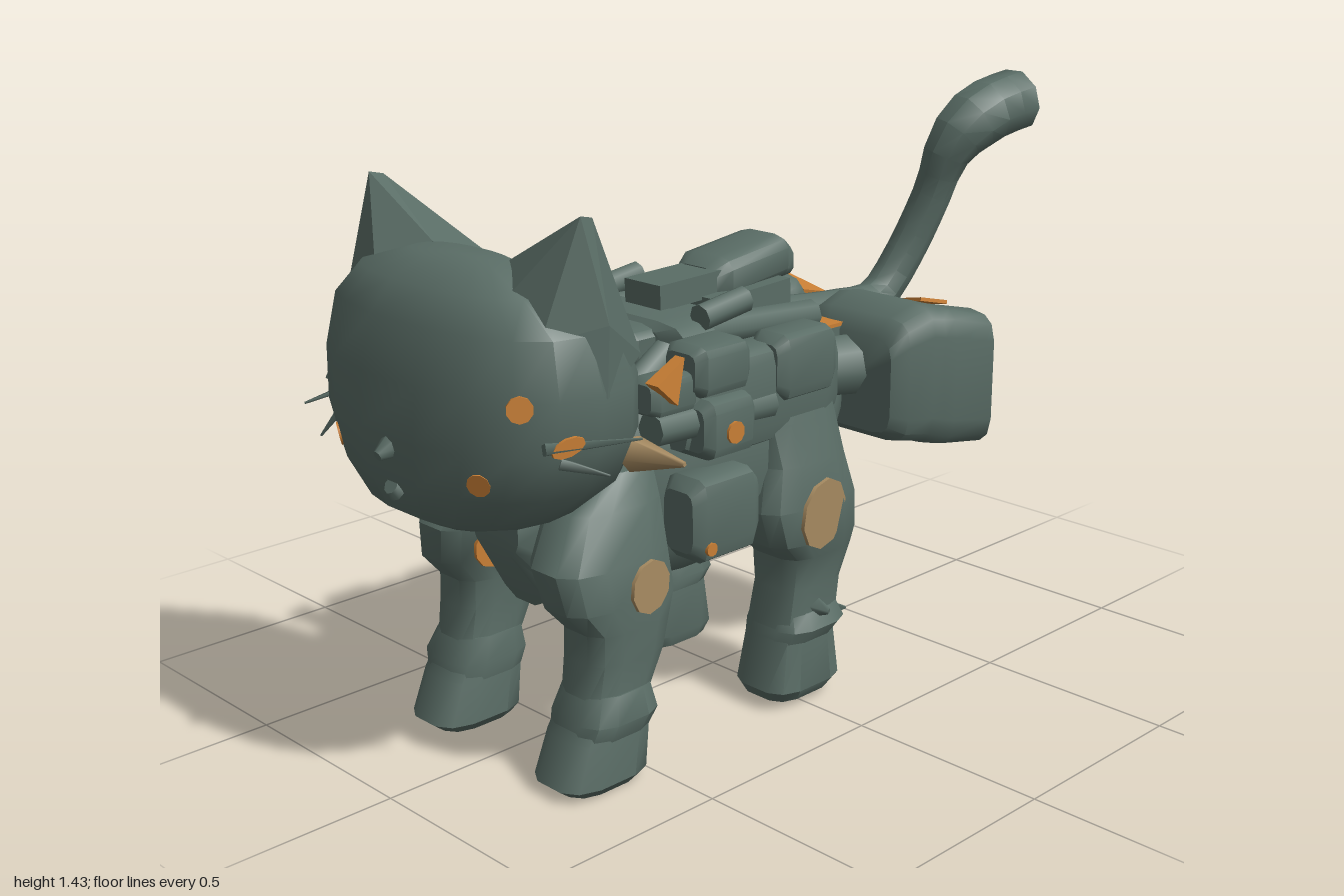
import * as THREE from 'three';
import { toCreasedNormals } from 'three/addons/utils/BufferGeometryUtils.js';
import { ConvexGeometry } from 'three/addons/geometries/ConvexGeometry.js';

const V = (x, y, z) => new THREE.Vector3(x, y, z);

// Closed skin over rings [x, y, z, radiusA, radiusB], ascending along the axis;
// drop(x, y, z) may lower single points
function loft(axis, rings, power = 2.4, n = 14, drop = () => 0) {
  const pos = [], idx = [];
  const sup = v => Math.sign(v) * Math.abs(v) ** (2 / power);
  const push = (x, y, z) => pos.push(x, y - drop(x, y, z), z);
  const tri = (a, b, c) => (axis === 'x' ? idx.push(a, b, c) : idx.push(a, c, b));
  for (const [x, y, z, ra, rb] of rings) {
    for (let j = 0; j < n; j++) {
      const t = ((j + 0.5) / n) * Math.PI * 2;
      const a = sup(Math.cos(t)) * ra, b = sup(Math.sin(t)) * rb;
      if (axis === 'x') push(x, y + a, z + b);
      else push(x + a, y, z + b);
    }
  }
  const last = rings.length - 1, c0 = rings.length * n, c1 = c0 + 1;
  pos.push(...rings[0].slice(0, 3), ...rings[last].slice(0, 3));
  for (let j = 0; j < n; j++) {
    const k = (j + 1) % n;
    for (let i = 0; i < last; i++) {
      tri(i * n + j, i * n + k, (i + 1) * n + j);
      tri(i * n + k, (i + 1) * n + k, (i + 1) * n + j);
    }
    tri(c0, k, j);
    tri(c1, last * n + j, last * n + k);
  }
  const g = new THREE.BufferGeometry();
  g.setAttribute('position', new THREE.Float32BufferAttribute(pos, 3));
  g.setIndex(idx);
  return toCreasedNormals(g, 0.7);
}

export function createModel() {
  const model = new THREE.Group();
  const cat = new THREE.Group();
  cat.name = 'mechanicalCat';
  cat.position.z = 0.02;
  model.add(cat);

  const paint = (name, color) => {
    const m = new THREE.MeshStandardMaterial({ color });
    m.name = name;
    return m;
  };
  const green = paint('slate green', 0x5a6d66);
  const orange = paint('orange', 0xc97f35);
  const tan = paint('tan', 0xa88c62);

  const add = (name, geometry, material = green) => {
    const m = new THREE.Mesh(geometry, material);
    m.name = name;
    cat.add(m);
    return m;
  };
  const box = (name, x, y, z, w, h, d, tilt = 0, material = green) => {
    const m = add(name, new THREE.BoxGeometry(w, h, d), material);
    m.position.set(x, y, z);
    m.rotation.z = tilt;
    return m;
  };
  // Box with softened ends and corners
  const pack = (name, x, y, z, w, h, d) => add(name, loft('x', [
    [x - w / 2, y, z, h * 0.36, d * 0.36], [x - w * 0.36, y, z, h / 2, d / 2],
    [x + w * 0.36, y, z, h / 2, d / 2], [x + w / 2, y, z, h * 0.36, d * 0.36],
  ], 5, 12));
  // Cylinder or cone between two points
  const rod = (name, a, b, r0, r1, material = green, sides = 8) => {
    const d = b.clone().sub(a);
    const m = add(name, new THREE.CylinderGeometry(r1, r0, d.length(), sides), material);
    m.position.copy(a).addScaledVector(d, 0.5);
    m.quaternion.setFromUnitVectors(V(0, 1, 0), d.normalize());
    return m;
  };
  const disc = (name, p, dir, r, material) =>
    rod(name, p, p.clone().addScaledVector(dir.normalize(), 0.009), r, r, material, 10);

  add('body', loft('x', [
    [-0.7, 0.56, 0, 0.06, 0.08], [-0.62, 0.54, 0, 0.18, 0.115], [-0.52, 0.6, 0, 0.24, 0.17],
    [-0.4, 0.635, 0, 0.285, 0.19], [-0.28, 0.64, 0, 0.285, 0.25], [-0.1, 0.65, 0, 0.285, 0.27],
    [0.02, 0.67, 0, 0.26, 0.26], [0.16, 0.7, 0, 0.17, 0.24], [0.26, 0.74, 0, 0.14, 0.18],
  ], 2.6, 16));
  add('head', loft('y', [
    [-0.78, 0.62, 0, 0.09, 0.13], [-0.76, 0.66, 0, 0.18, 0.26], [-0.735, 0.74, 0, 0.235, 0.35],
    [-0.73, 0.84, 0, 0.25, 0.395], [-0.73, 0.96, 0, 0.24, 0.405], [-0.74, 1.08, 0, 0.2, 0.38],
    [-0.77, 1.15, 0, 0.13, 0.29], [-0.77, 1.195, 0, 0.06, 0.14],
  ], 2.4, 18));
  rod('nose', V(-0.95, 0.82, 0), V(-1, 0.8, 0), 0.035, 0.012);
  rod('mouth', V(-0.955, 0.72, 0), V(-0.97, 0.73, 0), 0.03, 0.02);

  // Tail: a tube that thickens towards its blunt tip
  const path = new THREE.CatmullRomCurve3([
    V(0.12, 0.89, 0), V(0.45, 0.86, 0), V(0.59, 0.86, -0.01), V(0.68, 0.97, 0.01),
    V(0.735, 1.12, 0.05), V(0.765, 1.26, 0.09), V(0.84, 1.325, 0.115), V(1.035, 1.365, 0.135),
  ]);
  const steps = 22, sides = 9;
  const tail = new THREE.TubeGeometry(path, steps, 1, sides);
  const tp = tail.attributes.position;
  for (let i = 0; i < tp.count; i++) {
    const s = Math.floor(i / (sides + 1)), t = s / steps;
    const c = path.getPointAt(t);
    const r = 0.052 + 0.031 * THREE.MathUtils.smoothstep(t, 0.66, 0.84);
    // the last ring folds back to the centre of the one before, as a flat cap
    const p = s === steps ? path.getPointAt(1 - 1 / steps)
      : V(0, 0, 0).fromBufferAttribute(tp, i).sub(c).multiplyScalar(r).add(c);
    tp.setXYZ(i, p.x, p.y, p.z);
  }
  add('tail', toCreasedNormals(tail, 0.7));

  // Machinery along the spine
  pack('spinePlate', -0.25, 0.925, 0, 0.36, 0.1, 0.26);
  pack('saddleBand', -0.26, 0.925, 0, 0.14, 0.12, 0.4);
  box('turretFront', -0.13, 1.015, -0.01, 0.22, 0.06, 0.12, 0.03);
  box('turretBase', 0.02, 0.96, 0, 0.25, 0.08, 0.2, 0.05);
  add('turret', loft('x', [
    [-0.06, 1.01, -0.02, 0.04, 0.07], [-0.02, 1.02, -0.02, 0.055, 0.09],
    [0.17, 1.045, -0.02, 0.055, 0.09], [0.21, 1.03, -0.02, 0.04, 0.07],
  ], 3.5, 12));

  for (const s of [1, -1]) {
    const side = s > 0 ? 'left' : 'right';
    const named = part => side + part;
    const P = (x, y, z) => V(x, y, z * s);

    // Broad ears that run down into the skull
    add(named('Ear'), new ConvexGeometry([
      P(-0.74, 1.318, 0.355), P(-0.705, 1.31, 0.35), P(-0.72, 0.95, 0.405), P(-0.74, 1.195, 0.13),
      P(-0.83, 1.14, 0.22), P(-0.83, 1.07, 0.33), P(-0.55, 1.13, 0.18), P(-0.505, 0.99, 0.2),
      P(-0.56, 1.0, 0.33), P(-0.71, 1.1, 0.402),
    ]));

    // Face details
    const eye = disc(named('Eye'), P(-0.815, 0.868, 0.388), P(-0.3, 0, 1), 0.038, orange);
    eye.scale.z = 0.5;
    rod(named('CheekTuft'), P(-0.59, 0.79, 0.33), P(-0.565, 0.79, 0.465), 0.042, 0.006, tan, 5);
    const whiskers = s > 0
      ? [[-0.86, 0.868, -0.66, 0.862, 0.44], [-0.82, 0.83, -0.74, 0.8, 0.43]]
      : [[-0.7, 0.85, -0.85, 0.775, 0.5], [-0.8, 0.82, -0.85, 0.71, 0.44], [-0.86, 0.868, -0.66, 0.862, 0.43]];
    for (const [x, y, tx, ty, tz] of whiskers)
      rod(named('Whisker'), P(x, y, 0.37), P(tx, ty, tz), 0.016, 0.003, green, 4);
    disc(named('CheekSpot'), P(-0.922, 0.78, 0.24), P(-0.8, -0.2, 0.5), 0.026, orange);

    // Legs with cuffs and discs
    add(named('FrontLeg'), loft('y', [
      [-0.62, 0.003, 0.225 * s, 0.1, 0.07], [-0.63, 0.03, 0.225 * s, 0.125, 0.095],
      [-0.605, 0.13, 0.225 * s, 0.11, 0.09], [-0.585, 0.2, 0.225 * s, 0.09, 0.08],
      [-0.555, 0.3, 0.225 * s, 0.11, 0.085], [-0.545, 0.37, 0.225 * s, 0.12, 0.085],
      [-0.56, 0.43, 0.22 * s, 0.16, 0.09], [-0.57, 0.52, 0.2 * s, 0.165, 0.1],
      [-0.53, 0.63, 0.17 * s, 0.13, 0.09], [-0.48, 0.7, 0.15 * s, 0.08, 0.07],
    ], 3, 12));
    add(named('FrontCuff'), loft('y', [
      [-0.6, 0.13, 0.225 * s, 0.105, 0.09], [-0.59, 0.17, 0.23 * s, 0.11, 0.1],
      [-0.58, 0.23, 0.225 * s, 0.088, 0.085],
    ], 3, 12));
    disc(named('ShoulderDisc'), P(-0.52, 0.46, 0.304), P(0.12, 0, 1), 0.062, tan);
    disc(named('InnerShoulderDisc'), P(-0.62, 0.465, 0.122), P(0, 0, -1), 0.05, orange);
    add(named('RearLeg'), loft('y', [
      [0.015, 0.02, 0.22 * s, 0.1, 0.08], [0.015, 0.05, 0.225 * s, 0.12, 0.095],
      [0.02, 0.17, 0.225 * s, 0.1, 0.085], [0.045, 0.3, 0.225 * s, 0.098, 0.08],
      [0.06, 0.38, 0.225 * s, 0.115, 0.09], [0.03, 0.43, 0.235 * s, 0.145, 0.1],
      [0.015, 0.52, 0.235 * s, 0.16, 0.1], [0.02, 0.62, 0.215 * s, 0.13, 0.1],
      [0.01, 0.72, 0.2 * s, 0.13, 0.09], [0, 0.84, 0.18 * s, 0.12, 0.08],
    ], 3.4, 12));
    add(named('RearCuff'), loft('y', [
      [0.02, 0.17, 0.225 * s, 0.1, 0.09], [0.035, 0.2, 0.23 * s, 0.11, 0.1],
      [0.035, 0.24, 0.225 * s, 0.095, 0.085],
    ], 3, 12));
    rod(named('AnkleSpur'), P(0.06, 0.21, 0.25), P(0.175, 0.19, 0.27), 0.045, 0.004, green, 4);
    rod(named('OuterSpur'), P(0.02, 0.25, 0.27), P(0.04, 0.24, 0.335), 0.04, 0.008, green, 4);
    disc(named('HipDisc'), P(0.01, 0.5, 0.334), P(0.14, -0.04, 1), 0.087, tan);

    // Flank machinery
    pack(named('FlankPod'), -0.285, 0.565, 0.262 * s, 0.21, 0.2, 0.13);
    disc(named('PodLight'), P(-0.35, 0.505, 0.322), P(0, 0, 1), 0.016, orange);
    pack(named('FlankBlock'), -0.11, 0.8, 0.2 * s, 0.5, 0.24, 0.17);
    pack(named('GunHousing'), -0.27, 0.77, 0.26 * s, 0.16, 0.14, 0.12);
    disc(named('GunLight'), P(-0.27, 0.76, 0.317), P(0, 0, 1), 0.026, orange);
    pack(named('UpperPack'), -0.27, 0.9, 0.235 * s, 0.17, 0.12, 0.13);
    pack(named('RearPack'), 0, 0.86, 0.245 * s, 0.2, 0.16, 0.12);
    rod(named('FlankTube'), P(-0.46, 0.79, 0.25), P(-0.1, 0.78, 0.25), 0.04, 0.045);
    rod(named('BackTube'), P(-0.22, 0.95, 0.16), P(0.15, 0.925, 0.16), 0.038, 0.038);
    rod(named('BackBarrel'), P(-0.24, 0.99, 0.18), P(-0.1, 1.01, 0.18), 0.032, 0.032);
    rod(named('NeckTube'), P(-0.52, 0.8, 0.17), P(-0.3, 0.92, 0.14), 0.04, 0.04);
    add(named('CollarFin'), new ConvexGeometry([
      P(-0.485, 0.905, 0.3), P(-0.395, 0.95, 0.29), P(-0.425, 0.85, 0.3),
      P(-0.485, 0.905, 0.26), P(-0.395, 0.95, 0.26), P(-0.425, 0.85, 0.26),
    ]), orange);
    pack(named('CollarMount'), -0.4, 0.86, 0.23 * s, 0.14, 0.09, 0.09);

    // Rear boosters, their tops sloping inwards behind a front lip
    const slope = (x, y, z) =>
      x > 0.38 && y > 0.82 ? 0.055 * THREE.MathUtils.clamp((0.36 - z * s) / 0.28, 0, 1) : 0;
    add(named('Booster'), loft('x', [
      [0.23, 0.76, 0.22 * s, 0.12, 0.13], [0.265, 0.77, 0.22 * s, 0.155, 0.16],
      [0.34, 0.775, 0.225 * s, 0.175, 0.17], [0.37, 0.768, 0.23 * s, 0.178, 0.175],
      [0.4, 0.763, 0.235 * s, 0.18, 0.18], [0.52, 0.74, 0.25 * s, 0.172, 0.185],
      [0.55, 0.74, 0.25 * s, 0.14, 0.16],
    ], 6, 16, slope));
    rod(named('BoosterMount'), P(0.08, 0.8, 0.17), P(0.26, 0.79, 0.2), 0.07, 0.08);
    const panel = box(named('BoosterPanel'), 0.438, 0.912, 0.195 * s, 0.1, 0.009, 0.23, -0.24, orange);
    panel.rotation.x = -0.2 * s;
    box(named('HipPanel'), 0.222, 0.89, 0.125 * s, 0.09, 0.009, 0.12, 0, orange);
    box(named('HipBracket'), 0.222, 0.86, 0.125 * s, 0.09, 0.05, 0.12);
  }
  disc('foreheadSpot', V(-0.89, 0.95, 0.334), V(-0.55, 0.1, 0.8), 0.028, orange);
  return model;
}
